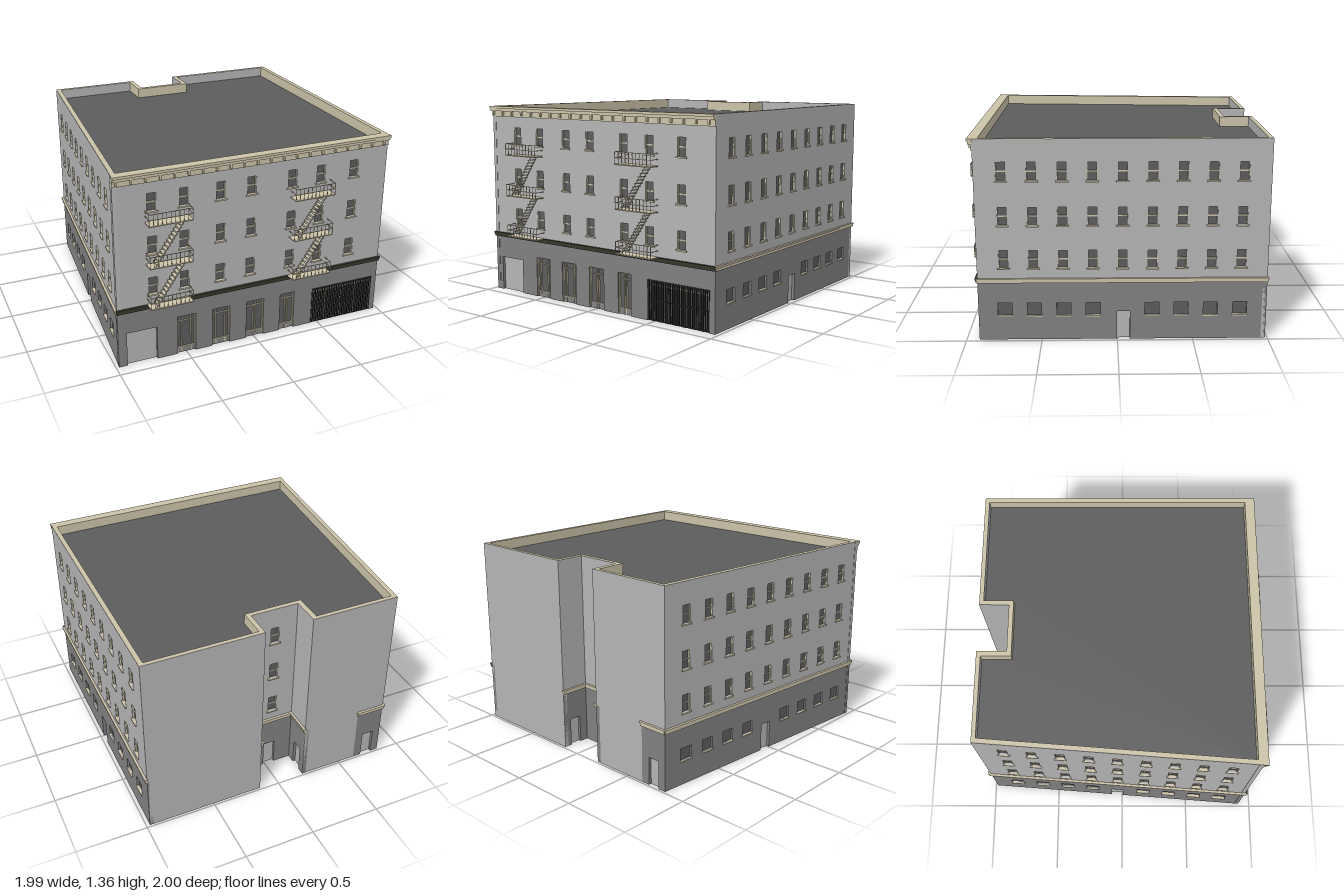
import * as THREE from 'three';

const mat = (name, color) => Object.assign(new THREE.MeshStandardMaterial({ color }), { name });
const wallMat = mat('light wall', 0xb4b4b4);
const baseMat = mat('dark ground floor', 0x808080);
const glassMat = mat('glass and roof', 0x5c5c5c);
const creamMat = mat('cream trim', 0xcbc2a8);
const ledgeMat = mat('dark green ledge', 0x33382a);
const barMat = mat('black iron', 0x2e2e2e);

const TOP = 1.354, SPLIT = 0.415, THICK = 0.03;

function box(parent, name, m, x0, x1, y0, y1, z0, z1) {
  const mesh = new THREE.Mesh(new THREE.BoxGeometry(x1 - x0, y1 - y0, z1 - z0), m);
  mesh.position.set((x0 + x1) / 2, (y0 + y1) / 2, (z0 + z1) / 2);
  mesh.name = name;
  parent.add(mesh);
  return mesh;
}

// Wall slab with openings; those starting at the ground are cut from the outline
function slab(parent, name, m, len, y0, y1, openings) {
  const s = new THREE.Shape();
  s.moveTo(0, y0);
  openings.filter(o => o.y0 <= y0).sort((a, b) => a.x - b.x).forEach(o => {
    const a = o.x - o.w / 2, b = o.x + o.w / 2;
    s.lineTo(a, y0); s.lineTo(a, o.y1); s.lineTo(b, o.y1); s.lineTo(b, y0);
  });
  s.lineTo(len, y0); s.lineTo(len, y1); s.lineTo(0, y1); s.closePath();
  openings.filter(o => o.y0 > y0).forEach(o => {
    const a = o.x - o.w / 2, b = o.x + o.w / 2, h = new THREE.Path();
    h.moveTo(a, o.y0); h.lineTo(a, o.y1); h.lineTo(b, o.y1); h.lineTo(b, o.y0); h.closePath();
    s.holes.push(h);
  });
  const mesh = new THREE.Mesh(new THREE.ExtrudeGeometry(s, { depth: THICK, bevelEnabled: false }), m);
  mesh.position.z = -THICK;
  mesh.name = name;
  parent.add(mesh);
}

// What fills each kind of opening
const fill = {
  sash(g, o) {
    const a = o.x - o.w / 2, b = o.x + o.w / 2, mid = (o.y0 + o.y1) / 2;
    box(g, 'windowGlass', glassMat, a, b, o.y0, o.y1, -0.022, -0.014);
    box(g, 'windowRail', creamMat, a, b, mid - 0.004, mid + 0.004, -0.014, -0.008);
    for (const x of [a, b - 0.004]) box(g, 'windowJamb', creamMat, x, x + 0.004, o.y0, o.y1, -0.014, -0.004);
    box(g, 'windowSill', creamMat, a - 0.01, b + 0.01, o.y0 - 0.01, o.y0, -0.014, 0.01);
  },
  low(g, o) {
    const a = o.x - o.w / 2, b = o.x + o.w / 2;
    box(g, 'lowWindowGlass', glassMat, a, b, o.y0, o.y1, -0.022, -0.014);
    box(g, 'lowWindowSill', creamMat, a - 0.004, b + 0.004, o.y0 - 0.008, o.y0, -0.014, 0.008);
  },
  door(g, o) {
    box(g, 'door', wallMat, o.x - o.w / 2, o.x + o.w / 2, 0, o.y1, -0.028, -0.02);
  },
  shop(g, o) {
    const a = o.x - o.w / 2, b = o.x + o.w / 2, t = 0.005;
    box(g, 'shopGlass', glassMat, a, b, 0.04, o.y1, -0.026, -0.02);
    box(g, 'shopPanel', baseMat, a, b, 0, 0.04, -0.026, -0.012);
    for (const x of [a, o.x - o.m - t / 2, o.x + o.m - t / 2, b - t])
      box(g, 'shopMullion', creamMat, x, x + t, 0, o.y1, -0.02, -0.008);
    for (const y of [0.038, 0.24, o.y1 - t]) box(g, 'shopRail', creamMat, a, b, y, y + t, -0.02, -0.009);
  },
  grille(g, o) {
    const a = o.x - o.w / 2, b = o.x + o.w / 2, n = 34;
    box(g, 'grilleGlass', glassMat, a, b, 0, o.y1, -0.028, -0.022);
    box(g, 'grilleTransom', creamMat, a, b, 0.232, 0.245, -0.022, -0.014);
    for (let i = 0; i <= 4; i++) {
      const x = a + (o.w - 0.006) * i / 4;
      box(g, 'grilleFrame', creamMat, x, x + 0.006, 0, o.y1, -0.022, -0.015);
    }
    for (let i = 0; i <= n; i++) {
      const x = a + (o.w - 0.005) * i / n;
      box(g, 'grilleBar', barMat, x, x + 0.005, 0.004, o.y1, -0.003, 0.003);
    }
    for (const y of [0.006, 0.138, o.y1 - 0.007]) box(g, 'grilleCrossBar', barMat, a, b, y, y + 0.007, -0.002, 0.005);
  },
};

// One facade from A to B, left to right as seen from outside
function facade(root, name, [ax, az], [bx, bz], upper = [], base = null, band = creamMat) {
  const g = new THREE.Group(), len = Math.hypot(bx - ax, bz - az);
  g.name = name;
  g.position.set(ax, 0, az);
  g.rotation.y = Math.atan2(az - bz, bx - ax);
  root.add(g);
  slab(g, 'upperWall', wallMat, len, base ? SPLIT : 0, TOP, upper);
  if (base) {
    slab(g, 'groundFloorWall', baseMat, len, 0, SPLIT, base);
    box(g, 'innerLining', wallMat, THICK, len - THICK, 0, SPLIT, -0.034, -0.031);
    box(g, 'ledgeLower', band, -0.004, len + 0.004, 0.4, 0.418, -0.005, 0.012);
    box(g, 'ledgeUpper', band, -0.008, len + 0.008, 0.418, 0.43, -0.005, 0.017);
  }
  [...upper, ...(base || [])].forEach(o => fill[o.kind](g, o));
  return g;
}

const floors = [0.5, 0.79, 1.085];
const sashes = xs => xs.flatMap(x => floors.map(y0 => ({ kind: 'sash', x, w: 0.064, y0, y1: y0 + 0.12 })));
const door = (x, w = 0.085, y1 = 0.195) => ({ kind: 'door', x, w, y0: 0, y1 });

function fireEscape(root, x0) {
  const g = new THREE.Group(), w = 0.294, zi = 0.917, zo = 0.995, t = 0.004;
  g.name = 'fireEscape';
  g.position.x = x0;
  root.add(g);
  const levels = [0.425, 0.718, 1.01];
  levels.forEach((y, k) => {
    box(g, 'platform', creamMat, 0, w, y, y + 0.007, zi, zo);
    for (const h of [0.045, 0.083]) {
      box(g, 'frontRail', creamMat, 0, w, y + h, y + h + t, zo - t, zo);
      for (const x of [0, w - t]) box(g, 'sideRail', creamMat, x, x + t, y + h, y + h + t, zi, zo);
    }
    for (let i = 0; i <= 10; i++) {
      const x = (w - t) * i / 10;
      box(g, 'baluster', creamMat, x, x + 0.003, y, y + 0.085, zo - t, zo - 0.001);
    }
    if (k === 2) return;
    // Stair up to the next platform
    const sx = 0.04, run = 0.2, rise = levels[k + 1] - y, n = 13;
    for (let i = 1; i < n; i++) {
      const x = sx + run * i / n, ty = y + rise * i / n;
      box(g, 'stairTread', creamMat, x - 0.011, x + 0.011, ty, ty + 0.004, 0.925, 0.983);
    }
    for (const z of [0.925, 0.981]) {
      const s = box(g, 'stairStringer', creamMat, 0, Math.hypot(run, rise), 0, 0.004, z, z + 0.003);
      s.position.set(sx + run / 2, y + rise / 2, z);
      s.rotation.z = Math.atan2(rise, run);
    }
  });
}

function plan(points) {
  return points.map(([x, z]) => new THREE.Vector2(x, -z));
}
function slabFromPlan(root, name, m, shape, y, h) {
  const mesh = new THREE.Mesh(
    new THREE.ExtrudeGeometry(shape, { depth: h, bevelEnabled: false }).rotateX(-Math.PI / 2), m);
  mesh.position.y = y;
  mesh.name = name;
  root.add(mesh);
}

export function createModel() {
  const root = new THREE.Group();
  root.name = 'cornerBuilding';
  const FL = [-0.98, 0.915], FR = [0.975, 0.915], BR = [0.975, -0.985], N1 = [0.14, -0.985],
    N2 = [0.14, -0.78], N3 = [-0.2, -0.78], N4 = [-0.2, -0.985], S = [-0.63, -0.985], BL = [-0.835, -0.985];

  // Street front
  const at = x => x - FL[0];
  const shops = [[-0.5, 0.13, 0.034], [-0.25, 0.13, 0.034], [0.005, 0.13, 0.009], [0.252, 0.11, 0.009]]
    .map(([x, w, m]) => ({ kind: 'shop', x: at(x), w, m, y0: 0, y1: 0.285 }));
  const front = facade(root, 'frontFacade', FL, FR,
    sashes([-0.73, -0.513, -0.26, -0.042, 0.254, 0.466, 0.72].map(at)),
    [door(at(-0.815), 0.21, 0.245), ...shops, { kind: 'grille', x: at(0.691), w: 0.488, y0: 0, y1: 0.275 }], ledgeMat);

  // Cornice with brackets
  const len = FR[0] - FL[0];
  box(front, 'corniceFrieze', creamMat, 0, len, 1.28, 1.335, 0, 0.008);
  box(front, 'corniceMoulding', creamMat, 0, len, 1.32, 1.338, 0, 0.026);
  box(front, 'corniceCap', creamMat, -0.002, len + 0.002, 1.338, 1.355, -0.002, 0.033);
  for (let i = 0; i < 21; i++) {
    const x = 0.018 + i * 0.0945;
    box(front, 'corniceBracket', creamMat, x, x + 0.012, 1.29, 1.322, 0, 0.022);
  }

  // Long sides share one layout, mirrored on the slanted left side
  const cols = [0, 1, 2, 3, 4, 5, 6, 7, 8].map(i => 0.175 + 0.1935 * i);
  const side = f => [sashes(cols.map(f)), [door(f(0.955)), ...cols.filter((c, i) => i !== 4)
    .map(c => ({ kind: 'low', x: f(c), w: 0.094, y0: 0.17, y1: 0.257 }))]];
  facade(root, 'rightFacade', FR, BR, ...side(u => u));
  const leftLen = Math.hypot(FL[0] - BL[0], FL[1] - BL[1]);
  facade(root, 'leftFacade', BL, FL, ...side(u => leftLen - u));

  // Rear walls and light court
  facade(root, 'rearWallRight', BR, N1);
  facade(root, 'courtWallRight', N1, N2, [], [door(0.1)]);
  facade(root, 'courtWallBack', N2, N3, sashes([0.18]), [door(0.17)]);
  facade(root, 'courtWallLeft', N3, N4, [], [door(0.105)]);
  facade(root, 'rearWallLeft', N4, S);
  facade(root, 'rearEntrance', S, BL, [], [door(0.105)]);

  // Parapet and sunken roof
  const inner = plan([[-0.944, 0.88], [0.942, 0.88], [0.942, -0.958], [0.173, -0.958],
    [0.173, -0.748], [-0.236, -0.748], [-0.236, -0.958], [-0.803, -0.958]]);
  const ring = new THREE.Shape(plan([[-0.978, 0.914], [0.974, 0.914], [0.974, -0.984], [0.141, -0.984],
    [0.141, -0.779], [-0.201, -0.779], [-0.201, -0.984], [-0.834, -0.984]]));
  ring.holes.push(new THREE.Path(inner));
  slabFromPlan(root, 'parapet', creamMat, ring, 1.27, 0.085);
  slabFromPlan(root, 'roof', glassMat, new THREE.Shape(inner), 1.272, 0.012);

  fireEscape(root, -0.775);
  fireEscape(root, 0.243);
  return root;
}
